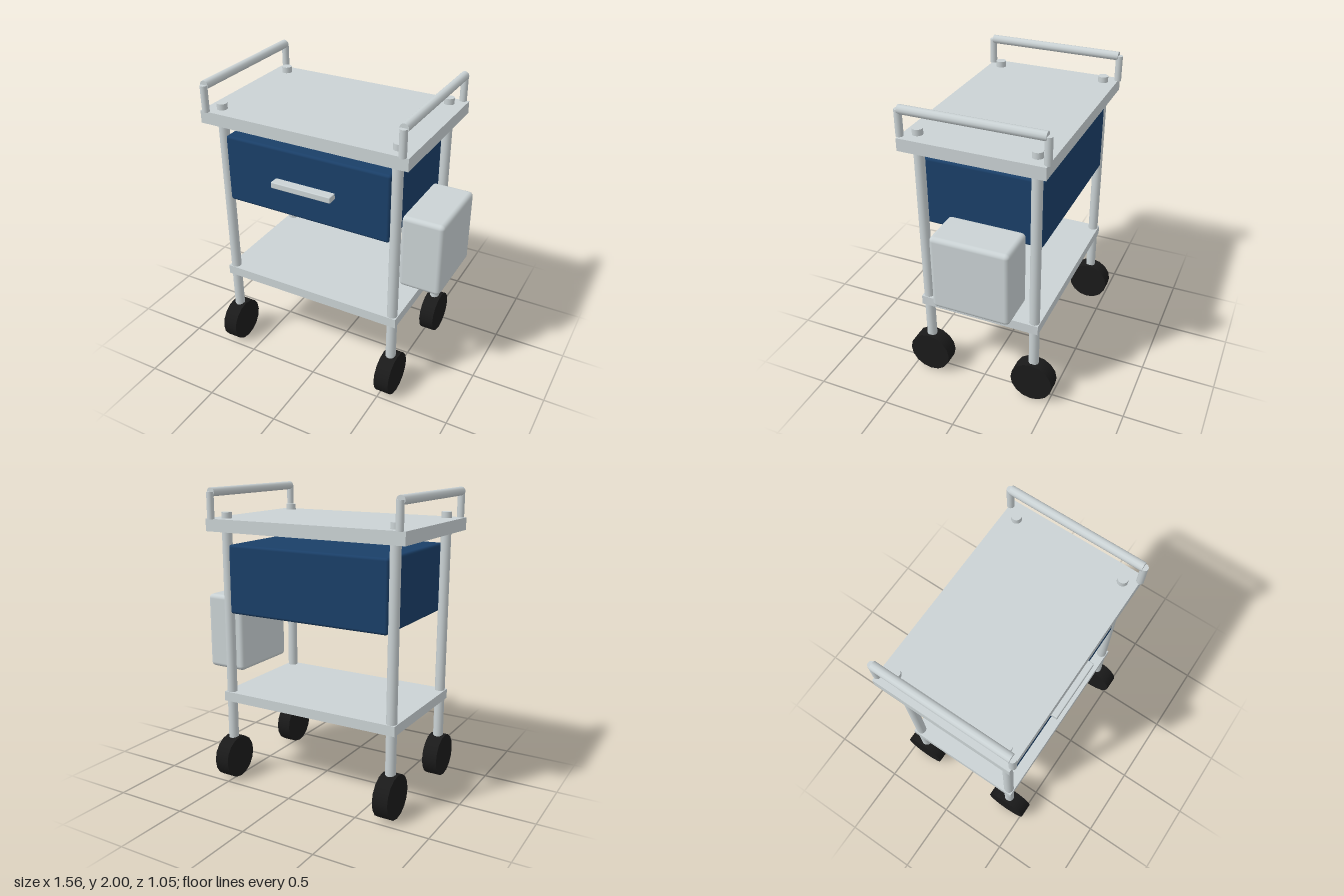
import * as THREE from 'three';
import { RoundedBoxGeometry } from 'three/addons/geometries/RoundedBoxGeometry.js';

const CART_X = -0.073; // the side bin pushes the cart body off centre

export function createModel() {
  const model = new THREE.Group();
  model.name = 'utilityCart';

  const material = (name, color) => {
    const m = new THREE.MeshStandardMaterial({ color });
    m.name = name;
    return m;
  };
  const steel = material('brushedSteel', 0xcad2d4);
  const blue = material('navyBlue', 0x1a3f68);
  const rubber = material('blackRubber', 0x1a1a1a);

  const add = (name, geometry, mat, x, y, z) => {
    const mesh = new THREE.Mesh(geometry, mat);
    mesh.name = name;
    mesh.position.set(x, y, z);
    model.add(mesh);
    return mesh;
  };

  // Shelves
  add('topShelf', new THREE.BoxGeometry(1.42, 0.082, 0.936), steel, CART_X, 1.761, 0);
  add('lowerShelf', new THREE.BoxGeometry(1.292, 0.066, 0.83), steel, CART_X, 0.589, 0);

  // Drawer unit filling the depth between the legs, with its pull bar
  add('drawer', new RoundedBoxGeometry(1.158, 0.46, 0.82, 2, 0.018), blue, CART_X, 1.405, 0);
  add('drawerPull', new RoundedBoxGeometry(0.423, 0.042, 0.07, 2, 0.006), steel, CART_X, 1.404, 0.437);

  // Bin hung on the left side
  add('sideBin', new RoundedBoxGeometry(0.287, 0.518, 0.522, 3, 0.03), steel, 0.638, 1.005, -0.043);

  // Legs and wheels at the four corners
  const legGeometry = new THREE.CylinderGeometry(0.034, 0.034, 1.695, 16);
  const wheelGeometry = new THREE.CylinderGeometry(0.146, 0.146, 0.104, 16).rotateZ(Math.PI / 2);

  // End rails, each on two posts
  const postGeometry = new THREE.CylinderGeometry(0.024, 0.024, 0.172, 12);
  const railGeometry = new THREE.CylinderGeometry(0.029, 0.029, 0.916, 12).rotateX(Math.PI / 2);

  for (const sx of [-1, 1]) {
    const side = sx > 0 ? 'left' : 'right';
    add(`${side}Rail`, railGeometry, steel, CART_X + sx * 0.67, 1.971, 0);
    for (const sz of [-1, 1]) {
      const corner = side + (sz > 0 ? 'Front' : 'Back');
      add(`${corner}Leg`, legGeometry, steel, CART_X + sx * 0.608, 0.9945, sz * 0.378);
      add(`${corner}Wheel`, wheelGeometry, rubber, CART_X + sx * 0.608, 0.146, sz * 0.378);
      add(`${corner}RailPost`, postGeometry, steel, CART_X + sx * 0.67, 1.886, sz * 0.463);
    }
  }

  return model;
}
